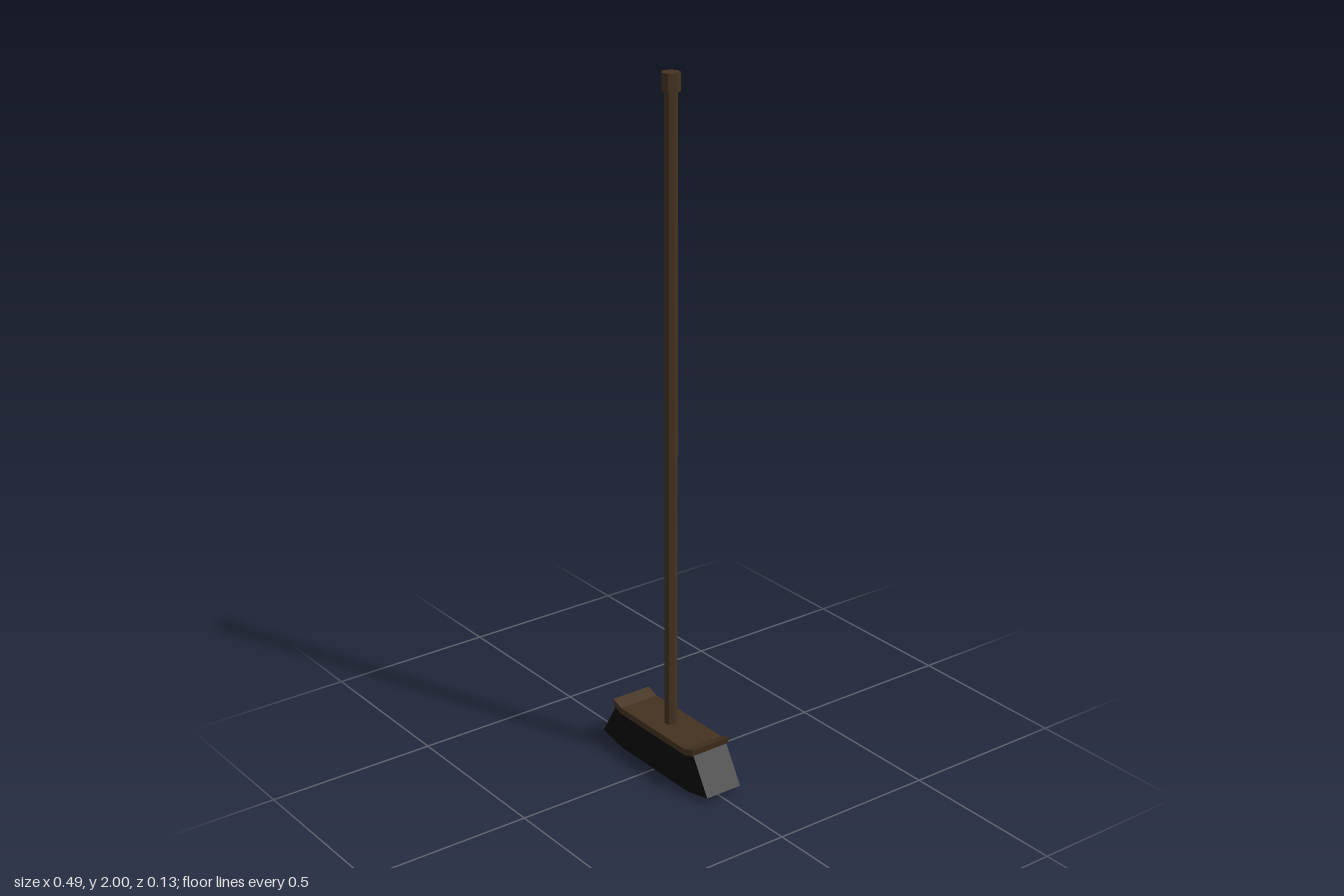
import * as THREE from 'three';

const wood = new THREE.MeshStandardMaterial({ color: 0x443220, flatShading: true });
const bristle = new THREE.MeshStandardMaterial({ color: 0x0b0b0b, flatShading: true });

// Extrude a left-right symmetric outline (right half given, top to bottom) from z0 to z1.
function slab(name, half, z0, z1, material) {
  const mirrored = half.map(([x, y]) => [-x, y]).reverse();
  const shape = new THREE.Shape([...half, ...mirrored].map(([x, y]) => new THREE.Vector2(x, y)));
  const geometry = new THREE.ExtrudeGeometry(shape, { depth: z1 - z0, bevelEnabled: false });
  geometry.translate(0, 0, z0);
  const mesh = new THREE.Mesh(geometry, material);
  mesh.name = name;
  return mesh;
}

// Seven-sided rod with one corner towards +x.
function rod(name, radius, y0, y1) {
  const geometry = new THREE.CylinderGeometry(radius, radius, y1 - y0, 7, 1, false, Math.PI / 2);
  const mesh = new THREE.Mesh(geometry, wood);
  mesh.name = name;
  mesh.position.set(0.001, (y0 + y1) / 2, -0.001);
  return mesh;
}

export function createModel() {
  const broom = new THREE.Group();
  broom.name = 'broom';

  // Handle and its end cap
  broom.add(rod('handle', 0.019, 0.12, 1.96));
  broom.add(rod('handleCap', 0.026, 1.95, 2));

  // Wooden head with upturned ends
  broom.add(slab('head', [[0.15, 0.133], [0.188, 0.146], [0.182, 0.124], [0.15, 0.114]],
    -0.064, 0.063, wood));

  // Flared bristle block, its top tucked against the head
  broom.add(slab('bristles', [[0.15, 0.116], [0.181, 0.126], [0.245, 0.019], [0.155, 0]],
    -0.059, 0.057, bristle));

  return broom;
}
